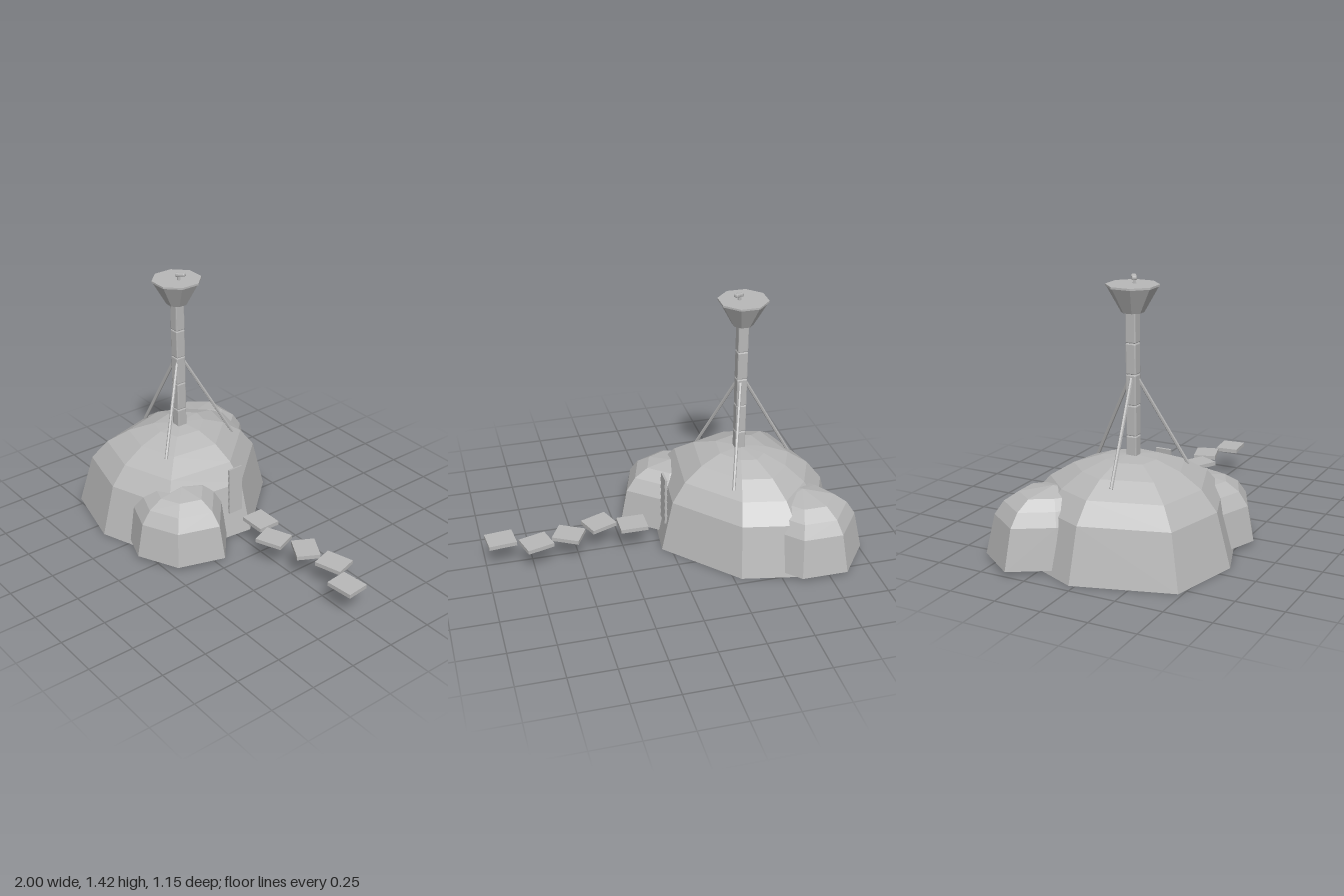
import * as THREE from 'three';
import { RoundedBoxGeometry } from 'three/addons/geometries/RoundedBoxGeometry.js';

const grey = new THREE.MeshStandardMaterial({ color: 0xb8b8b8, flatShading: true, side: THREE.DoubleSide });
grey.name = 'plain grey';

const MAST_X = -0.416, MAST_Z = 0.042;

function addMesh(parent, name, geometry, x = 0, y = 0, z = 0) {
  const mesh = new THREE.Mesh(geometry, grey);
  mesh.name = name;
  mesh.position.set(x, y, z);
  parent.add(mesh);
  return mesh;
}

// Open-bottomed faceted dome: a base outline of [x, z] points shrunk towards
// a centre, ring by ring; rings are [scale, height].
function domeGeometry(outline, [cx, cz], rings) {
  const n = outline.length, positions = [], index = [];
  for (const [s, y] of rings)
    for (const [x, z] of outline) positions.push(cx + (x - cx) * s, y, cz + (z - cz) * s);
  for (let r = 0; r < rings.length - 1; r++)
    for (let i = 0; i < n; i++) {
      const a = r * n + i, b = r * n + (i + 1) % n, c = a + n, d = b + n;
      index.push(a, c, b);
      if (rings[r + 1][0] > 0) index.push(b, c, d);
    }
  const g = new THREE.BufferGeometry();
  g.setAttribute('position', new THREE.Float32BufferAttribute(positions, 3));
  g.setIndex(index);
  g.computeVertexNormals();
  return g;
}

// Thin rod between two points
function rod(parent, name, from, to, radius) {
  const a = new THREE.Vector3(...from), b = new THREE.Vector3(...to);
  const dir = b.clone().sub(a);
  const m = addMesh(parent, name, new THREE.CylinderGeometry(radius, radius, dir.length(), 6));
  m.position.copy(a).add(b).multiplyScalar(0.5);
  m.quaternion.setFromUnitVectors(new THREE.Vector3(0, 1, 0), dir.normalize());
}

export function createModel() {
  const model = new THREE.Group();
  model.name = 'domeDwelling';

  // Main dome
  addMesh(model, 'mainDome', domeGeometry(
    [[0.05, -0.09], [-0.29, -0.46], [-0.61, -0.525], [-0.83, -0.3],
      [-0.95, -0.03], [-0.8, 0.48], [-0.41, 0.575], [-0.005, 0.43]],
    [-0.42, 0.03],
    [[1, 0], [0.865, 0.28], [0.71, 0.385], [0.5, 0.46], [0.26, 0.507], [0, 0.52]]));

  // Two side domes sunk deep into the main one
  addMesh(model, 'frontSideDome', domeGeometry(
    [[0.21, 0.21], [0.13, 0.46], [-0.09, 0.565], [-0.38, 0.46], [-0.42, 0.16], [-0.28, -0.02], [-0.02, 0.02]],
    [-0.09, 0.27],
    [[1, 0.025], [0.88, 0.21], [0.71, 0.28], [0.46, 0.325], [0, 0.345]]));
  addMesh(model, 'backSideDome', domeGeometry(
    [[-1, -0.36], [-0.84, -0.575], [-0.59, -0.575], [-0.4, -0.38], [-0.38, -0.1], [-0.68, 0.036], [-0.87, -0.14]],
    [-0.68, -0.27],
    [[1, 0.025], [0.86, 0.235], [0.72, 0.305], [0.5, 0.355], [0, 0.385]]));

  // Mast of stacked square blocks with bevelled ends
  const mast = new THREE.Group();
  mast.name = 'mast';
  model.add(mast);
  for (let i = 0; i < 5; i++)
    addMesh(mast, 'mastBlock', new RoundedBoxGeometry(0.056, 0.157, 0.056, 1, 0.006),
      MAST_X, 0.537 + i * 0.1575, MAST_Z);

  // Octagonal funnel and its rim
  const funnel = addMesh(mast, 'funnel', new THREE.CylinderGeometry(0.13, 0.057, 0.13, 8), MAST_X, 1.306, MAST_Z);
  const rim = addMesh(mast, 'funnelRim', new THREE.CylinderGeometry(0.134, 0.134, 0.01, 8), MAST_X, 1.374, MAST_Z);
  funnel.rotation.y = rim.rotation.y = Math.PI / 8;

  // Small pivoting lamp on top
  addMesh(mast, 'lampPost', new THREE.CylinderGeometry(0.008, 0.01, 0.025, 6), -0.395, 1.39, MAST_Z);
  const lamp = addMesh(mast, 'lampHead', new RoundedBoxGeometry(0.055, 0.02, 0.026, 1, 0.006), -0.389, 1.408, 0.036);
  lamp.rotation.set(0, 0.55, 0.1);

  // Bracing struts
  for (const foot of [[-0.71, 0.43, 0.076], [-0.24, 0.445, 0.262], [-0.303, 0.415, -0.24]])
    rod(model, 'strut', [MAST_X + 0.05 * (foot[0] - MAST_X), 0.925, MAST_Z + 0.05 * (foot[2] - MAST_Z)], foot, 0.009);

  // Entrance panel of overlapping slats
  const door = new THREE.Group();
  door.name = 'door';
  model.add(door);
  for (let i = 0; i < 6; i++) {
    const slat = addMesh(door, 'doorSlat', new THREE.BoxGeometry(0.012, 0.047, 0.086),
      0.018, 0.163 + i * 0.045, -0.008);
    slat.rotation.z = 0.1;
  }

  // Stepping slabs: x, z, turn
  for (const [x, z, turn] of [[0.203, -0.037, 0], [0.377, 0.016, 0.38], [0.555, -0.052, -0.5],
    [0.735, -0.086, 0.28], [0.916, -0.01, 0.1]]) {
    const slab = addMesh(model, 'steppingSlab', new THREE.BoxGeometry(0.15, 0.022, 0.125), x, 0.158, z);
    slab.rotation.y = turn;
  }
  return model;
}
